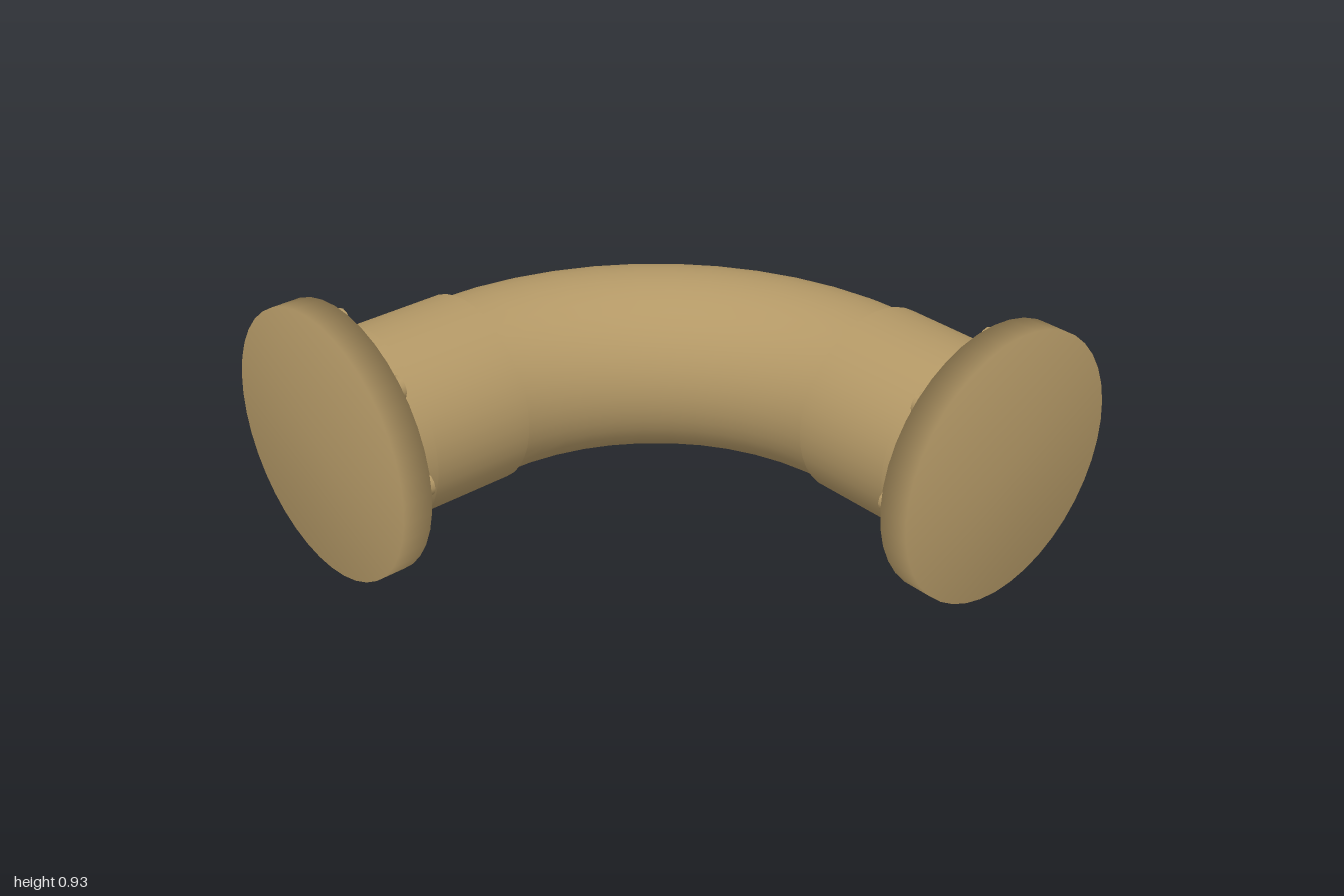
import * as THREE from 'three';

const SIDES = 40;
const AXIS_Y = 0.465; // height of the pipe axis
const LEG = 0.535;    // offset of each straight leg from the centre
const START = 0.41;   // where the bend meets the sleeves

const brass = new THREE.MeshStandardMaterial({ color: 0xb39866 });

function addPart(parent, name, geometry) {
  const mesh = new THREE.Mesh(geometry, brass);
  mesh.name = name;
  parent.add(mesh);
  return mesh;
}

// Cylinder along z between two distances from the origin
function barrel(radius, from, to, sides = SIDES) {
  return new THREE.CylinderGeometry(radius, radius, to - from, sides)
    .rotateX(Math.PI / 2)
    .translate(0, 0, (from + to) / 2);
}

// Sleeve, collar, flange and bolts of one pipe end, pointing along +z
function createEnd(name) {
  const end = new THREE.Group();
  end.name = name;
  addPart(end, 'sleeve', barrel(0.325, START, 0.785));
  addPart(end, 'collar', barrel(0.338, 0.78, 0.9));

  // Closed flange disc with softly shaded rim
  const profile = [[0, 0.895], [0.465, 0.895], [0.465, 1], [0, 1]]
    .map(([r, h]) => new THREE.Vector2(r, h));
  addPart(end, 'flange', new THREE.LatheGeometry(profile, SIDES).rotateX(Math.PI / 2));

  // Ring of eight bolt heads on the back of the flange
  for (let i = 0; i < 8; i++) {
    const a = (i * Math.PI) / 4;
    const bolt = addPart(end, 'bolt', barrel(0.039, 0.868, 0.91, 12));
    bolt.position.set(0.408 * Math.cos(a), 0.408 * Math.sin(a), 0);
  }
  return end;
}

export function createModel() {
  const model = new THREE.Group();
  model.name = 'pipeElbow';

  // Quarter-turn bend
  const bend = new THREE.TorusGeometry(LEG + START, 0.31, SIDES, 12, Math.PI / 2)
    .rotateX(-Math.PI / 2);
  addPart(model, 'bend', bend).position.set(-START, AXIS_Y, START);

  // Front end faces +z, side end faces -x
  const front = createEnd('frontEnd');
  front.position.set(LEG, AXIS_Y, 0);
  const side = createEnd('sideEnd');
  side.position.set(0, AXIS_Y, -LEG);
  side.rotation.y = -Math.PI / 2;
  model.add(front, side);
  return model;
}
